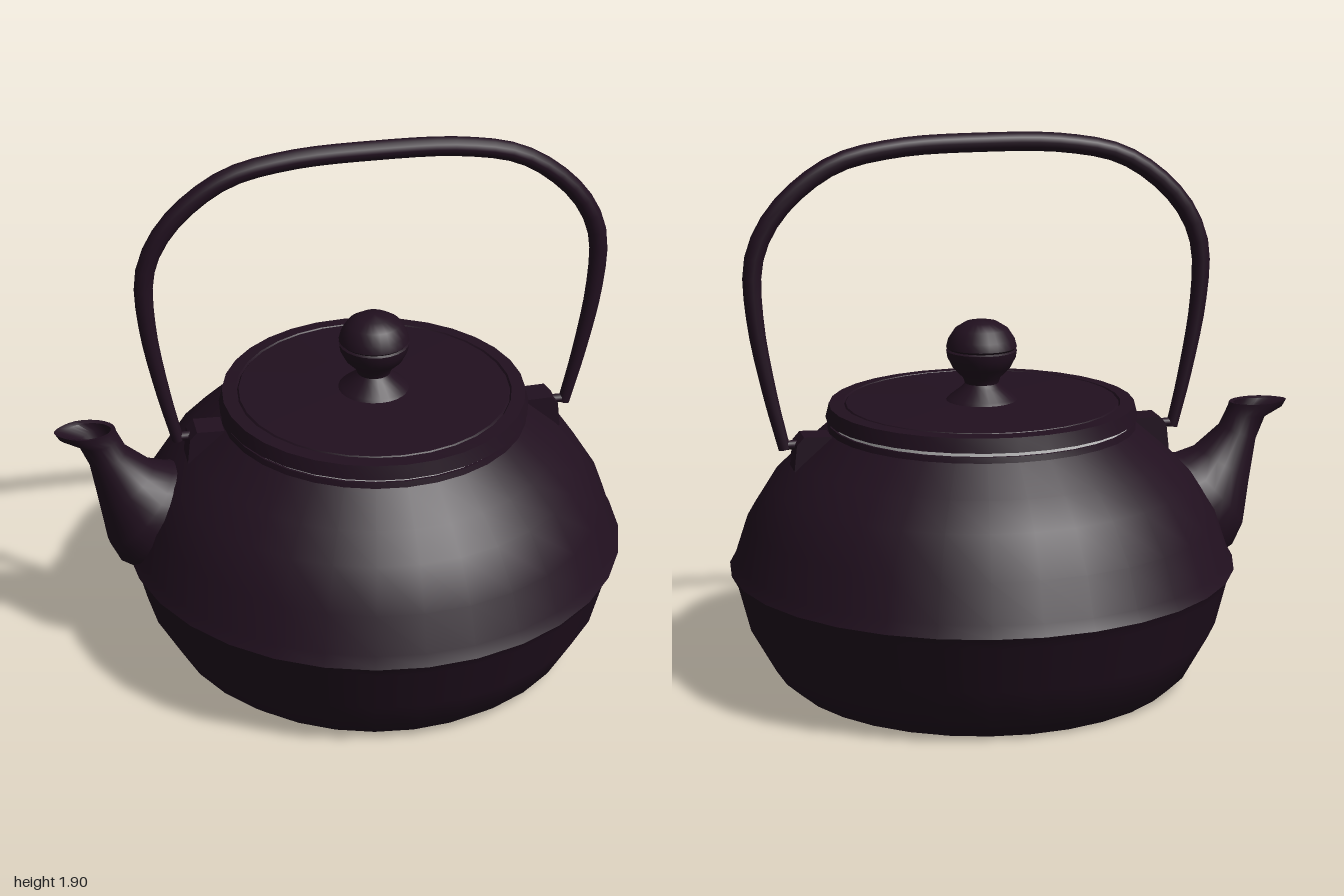
import * as THREE from 'three';
import { toCreasedNormals } from 'three/addons/utils/BufferGeometryUtils.js';

const iron = new THREE.MeshStandardMaterial({ color: 0x21101f, side: THREE.DoubleSide });
const pale = new THREE.MeshStandardMaterial({ color: 0xcccccc, side: THREE.DoubleSide });

function part(name, geometry, material = iron) {
  const mesh = new THREE.Mesh(geometry, material);
  mesh.name = name;
  return mesh;
}

// Turned part from [radius, height] pairs
function turned(name, profile, segments = 32, material = iron) {
  const points = profile.map(([r, y]) => new THREE.Vector2(r, y));
  return part(name, toCreasedNormals(new THREE.LatheGeometry(points, segments), 0.6), material);
}

// Skin over oval rings: [leftX, leftY, rightX, rightY, halfWidth, pointedness]
function loft(rings, sides) {
  const positions = [], index = [];
  rings.forEach(([lx, ly, rx, ry, w, point = 0], i) => {
    for (let j = 0; j < sides; j++) {
      const a = (j / sides) * Math.PI * 2, c = Math.cos(a);
      const pinch = c < 0 ? 1 - point * c * c : 1;
      positions.push((lx + rx) / 2 + c * (rx - lx) / 2, (ly + ry) / 2 + c * (ry - ly) / 2, Math.sin(a) * w * pinch);
      if (i === rings.length - 1) continue;
      const k = (j + 1) % sides, p = i * sides, q = p + sides;
      index.push(p + j, p + k, q + j, p + k, q + k, q + j);
    }
  });
  const g = new THREE.BufferGeometry();
  g.setAttribute('position', new THREE.Float32BufferAttribute(positions, 3));
  g.setIndex(index);
  return toCreasedNormals(g, 0.8);
}

// Bail handle: a tube that thins towards both ends
function handleGeometry() {
  const half = [[0.69, 0.84], [0.735, 1.03], [0.78, 1.29], [0.783, 1.48], [0.738, 1.6],
    [0.647, 1.71], [0.497, 1.81], [0.294, 1.855]];
  const points = [
    ...half.map(([x, y]) => new THREE.Vector3(-x, y, 0)),
    new THREE.Vector3(0, 1.866, 0),
    ...half.map(([x, y]) => new THREE.Vector3(x, y, 0)).reverse(),
  ];
  const path = new THREE.CatmullRomCurve3(points);
  const steps = 48, sides = 12;
  const g = new THREE.TubeGeometry(path, steps, 0.033, sides);
  const pos = g.attributes.position, v = new THREE.Vector3();
  for (let i = 0; i <= steps; i++) {
    const centre = path.getPointAt(i / steps);
    const thin = THREE.MathUtils.clamp(0.62 + (centre.y - 0.85) * 0.6, 0.62, 1);
    for (let j = 0; j <= sides; j++) {
      const n = i * (sides + 1) + j;
      v.fromBufferAttribute(pos, n).sub(centre).multiplyScalar(thin).add(centre);
      pos.setXYZ(n, v.x, v.y, v.z);
    }
  }
  return g;
}

export function createModel() {
  const model = new THREE.Group();
  model.name = 'teapot';

  // Everything but the spout is centred on the pot's own axis
  const pot = new THREE.Group();
  pot.name = 'pot';
  pot.position.x = 0.115;
  model.add(pot);

  pot.add(turned('body', [
    [0, 0], [0.685, 0], [0.735, 0.045], [0.82, 0.2], [0.86, 0.36], [0.882, 0.4], [0.86, 0.44],
    [0.817, 0.57], [0.732, 0.705], [0.645, 0.79], [0.535, 0.885], [0.53, 0.905], [0.48, 0.905],
  ]));
  pot.add(turned('rimSeal', [[0.48, 0.904], [0.522, 0.904], [0.522, 0.921], [0.48, 0.921]], 32, pale));
  pot.add(turned('lid', [
    [0, 0.92], [0.54, 0.92], [0.528, 0.968], [0.48, 0.971], [0.475, 0.964], [0.47, 0.971],
    [0.13, 0.976], [0, 0.976],
  ]));
  pot.add(turned('lidKnob', [
    [0.125, 0.974], [0.115, 0.985], [0.07, 1.02], [0.058, 1.035], [0.065, 1.055], [0.1, 1.09],
    [0.118, 1.125], [0.122, 1.15], [0.115, 1.155], [0.122, 1.162], [0.115, 1.19], [0.092, 1.225],
    [0.055, 1.248], [0, 1.256],
  ], 24));

  // Lugs and the bent feet of the handle, one on each side
  const lugShape = new THREE.Shape([
    [0.52, 0.8], [0.6, 0.75], [0.665, 0.77], [0.655, 0.86], [0.63, 0.888], [0.535, 0.885],
  ].map(([x, y]) => new THREE.Vector2(x, y)));
  for (const side of [1, -1]) {
    const mount = new THREE.Group();
    mount.name = side > 0 ? 'leftMount' : 'rightMount';
    mount.rotation.y = side > 0 ? 0 : Math.PI;
    const lug = part('lug', new THREE.ExtrudeGeometry(lugShape, { depth: 0.1, bevelEnabled: false }));
    lug.position.z = -0.05;
    const foot = part('handleFoot', new THREE.CylinderGeometry(0.016, 0.016, 0.08, 10));
    foot.rotation.z = Math.PI / 2;
    foot.position.set(0.665, 0.853, 0);
    mount.add(lug, foot);
    pot.add(mount);
  }
  pot.add(part('handle', handleGeometry()));

  // Spout: hollow mouth, pointed lip, then widening into the body
  model.add(part('spout', loft([
    [-0.83, 0.7, -0.8, 0.71, 0.01],
    [-0.87, 0.78, -0.78, 0.81, 0.05],
    [-0.91, 0.87, -0.8, 0.885, 0.05],
    [-0.975, 0.908, -0.805, 0.91, 0.055, 0.3],
    [-1.0, 0.915, -0.79, 0.913, 0.072, 0.3],
    [-0.985, 0.89, -0.787, 0.9, 0.07, 0.3],
    [-0.92, 0.86, -0.778, 0.88, 0.066],
    [-0.885, 0.78, -0.755, 0.83, 0.075],
    [-0.86, 0.63, -0.665, 0.755, 0.115],
    [-0.835, 0.47, -0.6, 0.735, 0.16],
    [-0.8, 0.395, -0.53, 0.735, 0.175],
    [-0.7, 0.33, -0.42, 0.74, 0.19],
  ], 24)));

  return model;
}
